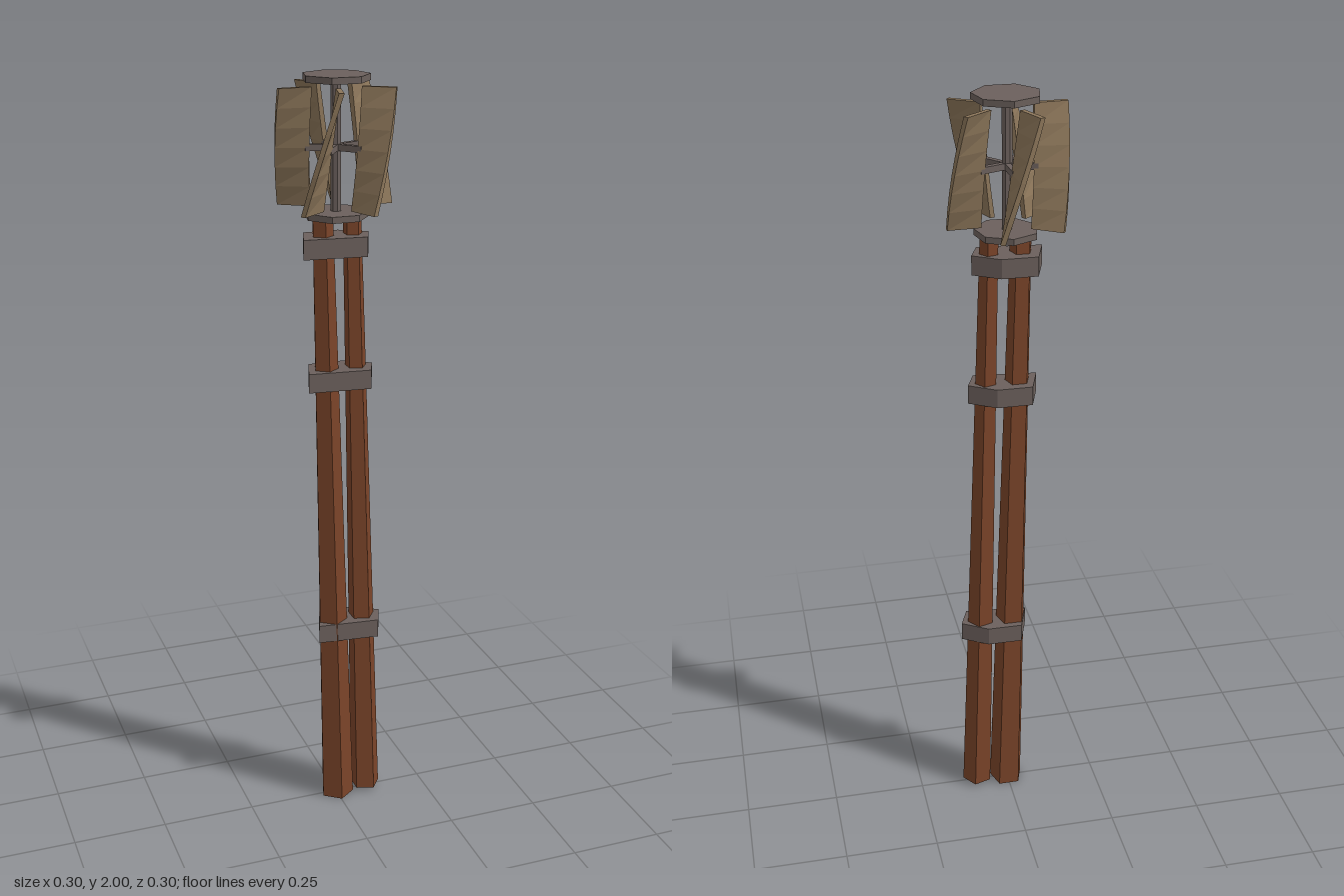
import * as THREE from 'three';

const flat = (color) => new THREE.MeshStandardMaterial({ color, flatShading: true });

export function createModel() {
  const model = new THREE.Group();
  const rust = flat(0x7a4429), iron = flat(0x6b605c), tan = flat(0x8c765a);

  const add = (name, geometry, material, parent = model) => {
    const mesh = new THREE.Mesh(geometry, material);
    mesh.name = name;
    parent.add(mesh);
    return mesh;
  };

  // Five-sided tapered pole, leaning from x0 at its foot to x1 at its head
  const pole = (name, x0, x1, y0, y1, r0, r1, turn) => {
    const g = new THREE.CylinderGeometry(r1, r0, y1 - y0, 5).rotateY(turn);
    const p = g.attributes.position;
    for (let i = 0; i < p.count; i++) {
      const t = p.getY(i) / (y1 - y0) + 0.5;
      p.setX(i, p.getX(i) + x0 + (x1 - x0) * t);
    }
    g.translate(0, (y0 + y1) / 2, 0);
    g.computeVertexNormals();
    add(name, g, rust);
  };
  pole('rightPole', 0.002, -0.037, 0, 1.66, 0.047, 0.028, 0);
  pole('leftPole', 0.088, 0.043, 0.01, 1.66, 0.041, 0.024, Math.PI / 2);

  // Uneven five-sided collars that clamp the poles together
  const outline = [[-0.095, 0.035], [0.068, 0.052], [0.092, -0.008], [0.025, -0.05], [-0.067, -0.05]];
  const collarShape = new THREE.Shape(outline.map(([x, z]) => new THREE.Vector2(x, -z)));
  for (const [x, y] of [[0.036, 0.525], [0.01, 1.24], [-0.002, 1.585]]) {
    const g = new THREE.ExtrudeGeometry(collarShape, { depth: 0.05, bevelEnabled: false });
    add('collar', g.rotateX(-Math.PI / 2), iron).position.set(x, y - 0.025, 0);
  }

  // Rotor: shaft between two seven-sided plates
  const rotor = new THREE.Group();
  rotor.name = 'rotor';
  model.add(rotor);
  const plate = (name, r, y) =>
    add(name, new THREE.CylinderGeometry(r, r, 0.016, 7).rotateY(Math.PI), iron, rotor).position.set(0, y, 0);
  plate('lowerPlate', 0.081, 1.662);
  plate('upperPlate', 0.085, 1.992);
  add('shaft', new THREE.CylinderGeometry(0.013, 0.013, 0.32, 7), iron, rotor).position.y = 1.828;

  // Helical blade: a radial plank twisted around the shaft
  const inner = 0.065, outer = 0.149, height = 0.294;
  const twist = THREE.MathUtils.degToRad(37);
  const bladeGeometry = new THREE.BoxGeometry(outer - inner, height, 0.013, 1, 6, 1);
  bladeGeometry.translate((inner + outer) / 2, 0, 0);
  const pos = bladeGeometry.attributes.position;
  const v = new THREE.Vector3(), up = new THREE.Vector3(0, 1, 0);
  for (let i = 0; i < pos.count; i++) {
    v.fromBufferAttribute(pos, i);
    v.applyAxisAngle(up, (v.y / height) * twist);
    pos.setXYZ(i, v.x, v.y, v.z);
  }
  bladeGeometry.computeVertexNormals();

  // Five blades, each held by a strut
  const strutGeometry = new THREE.BoxGeometry(0.07, 0.016, 0.014).translate(0.04, 0, 0);
  for (let i = 0; i < 5; i++) {
    const arm = new THREE.Group();
    arm.name = 'bladeArm';
    arm.position.y = 1.826;
    arm.rotation.y = THREE.MathUtils.degToRad(93 + 72 * i);
    add('blade', bladeGeometry, tan, arm);
    add('strut', strutGeometry, iron, arm);
    rotor.add(arm);
  }
  return model;
}
